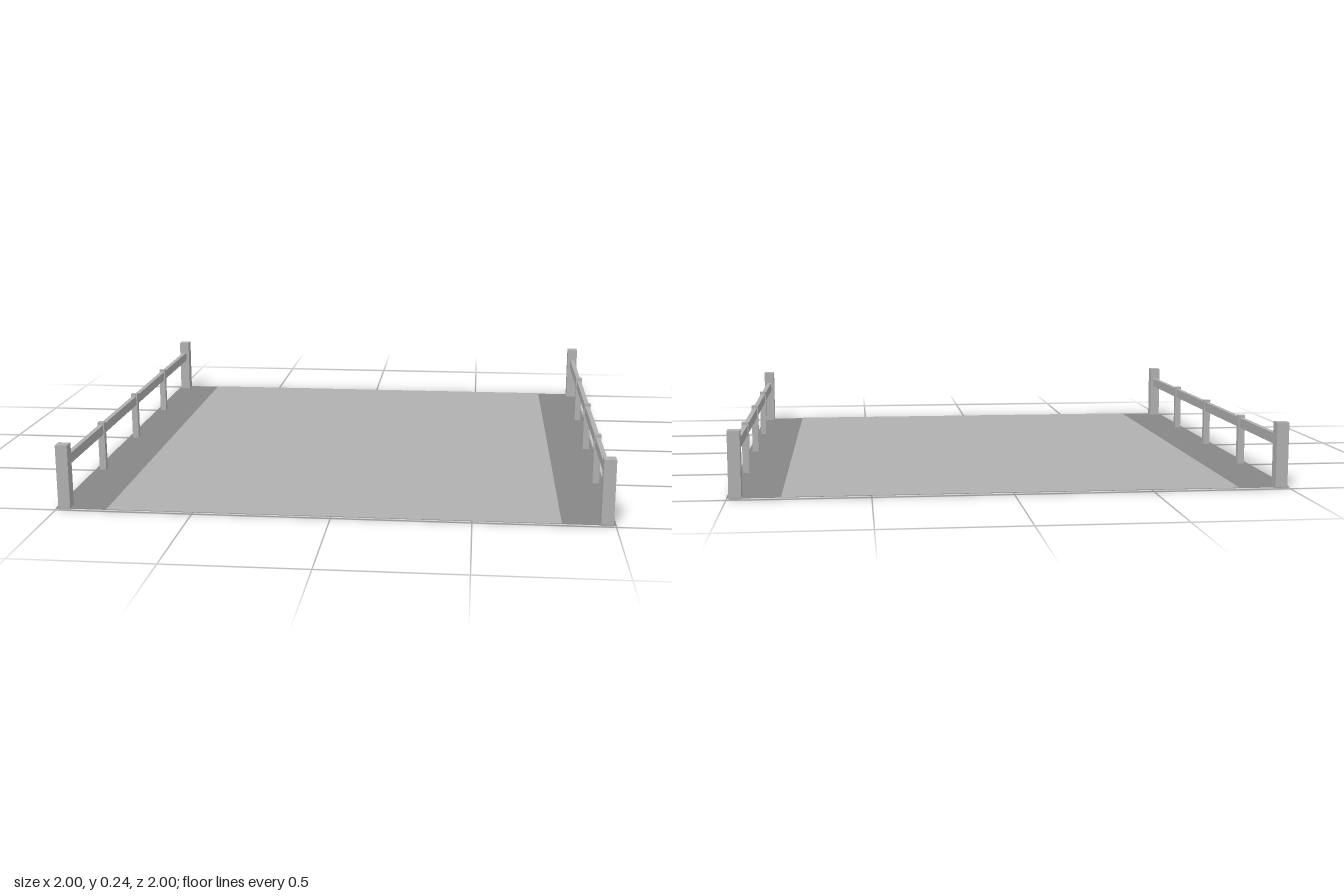
import * as THREE from 'three';

export function createModel() {
  const model = new THREE.Group();
  const concrete = new THREE.MeshStandardMaterial({ color: 0xb0b0b0 });
  concrete.name = 'light grey';
  const verge = new THREE.MeshStandardMaterial({ color: 0x868686, side: THREE.DoubleSide });
  verge.name = 'dark grey';

  const box = (name, w, h, d, x, y, z) => {
    const mesh = new THREE.Mesh(new THREE.BoxGeometry(w, h, d), concrete);
    mesh.name = name;
    mesh.position.set(x, y + h / 2, z); // y is the underside
    model.add(mesh);
  };
  const sheet = (name, w, y, material) => {
    const mesh = new THREE.Mesh(new THREE.PlaneGeometry(w, 2).rotateX(-Math.PI / 2), material);
    mesh.name = name;
    mesh.position.y = y;
    model.add(mesh);
  };

  // Thin deck: dark edge strips with a lighter roadway between them
  sheet('deck', 2, 0.006, verge);
  sheet('roadway', 1.625, 0.008, concrete);

  // A railing along each side
  for (const side of [-1, 1]) {
    const x = side * 0.97;
    for (const z of [-0.97, 0.97]) box('cornerPost', 0.044, 0.24, 0.044, x, 0, z);
    for (const z of [-0.495, 0, 0.495]) box('railPost', 0.026, 0.2, 0.024, x, 0, z);
    box('rail', 0.018, 0.038, 1.9, x, 0.152, 0);
  }
  return model;
}
